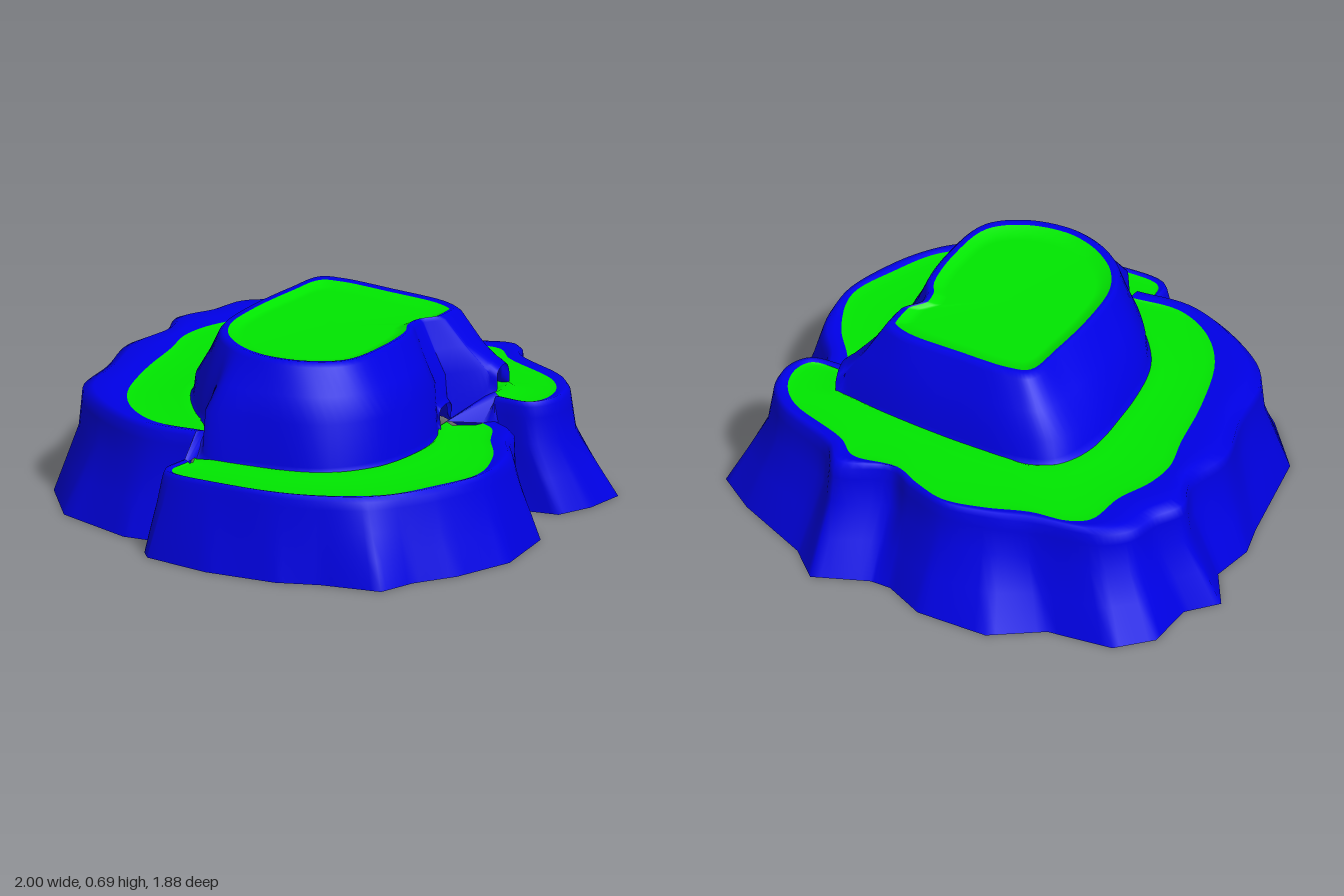
import * as THREE from 'three';

const blue = new THREE.MeshStandardMaterial({ color: 0x0000e7, side: THREE.DoubleSide });
blue.name = 'blue slope';
const green = new THREE.MeshStandardMaterial({ color: 0x00e700, side: THREE.DoubleSide });
green.name = 'green grass';

const STEPS = 6;
const V = (x, y, z) => new THREE.Vector3(x, y, z);

// flat [x, z, x, z, ...] outline at height y
const ring = (flat, y) => {
  const out = [];
  for (let i = 0; i < flat.length; i += 2) out.push(V(flat[i], y, flat[i + 1]));
  return out;
};

// sample an outline evenly between its stations, smoothly or with straight sides
function sample(pts, closed, straight) {
  const n = (closed ? pts.length : pts.length - 1) * STEPS;
  const curve = new THREE.CatmullRomCurve3(pts, closed, 'centripetal');
  return Array.from({ length: n + 1 }, (_, i) => {
    if (!straight) return curve.getPoint(closed ? (i % n) / n : i / n);
    const k = Math.min(Math.floor(i / STEPS), pts.length - 2);
    return pts[k].clone().lerp(pts[k + 1], i / STEPS - k);
  });
}

// blend two rows, taking the height from y (number or function of station)
const blend = (a, b, k, y) => a.map((p, i) => {
  const q = p.clone().lerp(b[i], k);
  q.y = typeof y === 'function' ? y(i) : y;
  return q;
});

// surface through rows running from the inside outwards
function loft(name, rows, material, closed = false) {
  const n = rows[0].length;
  const m = closed ? n - 1 : n;
  const pos = [];
  const idx = [];
  rows.forEach(r => r.slice(0, m).forEach(p => pos.push(p.x, p.y, p.z)));
  for (let j = 0; j < rows.length - 1; j++) {
    for (let i = 0; i < n - 1; i++) {
      const i2 = (i + 1) % m;
      const a = j * m + i, b = j * m + i2, c = a + m, d = b + m;
      idx.push(a, b, c, b, d, c);
    }
  }
  const geo = new THREE.BufferGeometry();
  geo.setAttribute('position', new THREE.Float32BufferAttribute(pos, 3));
  geo.setIndex(idx);
  geo.computeVertexNormals();
  const mesh = new THREE.Mesh(geo, material);
  mesh.name = name;
  return mesh;
}

// terrace: slightly sunken grass shelf, raised lip and outer wall;
// flare gives how far out the wall is at two thirds and one third of its height
function terrace(name, y, o, flare) {
  const base = sample(ring(o.base, 0), false, true);
  const top = sample(ring(o.top, y - 0.015), false);
  const edge = sample(ring(o.grass, y - 0.003), false);
  const foot = sample(ring(o.foot, y + 0.006), false);
  const centre = foot.map(() => V(0.1, y, 0.05));
  const under = blend(foot, centre, 0.06, y - 0.01);
  const walls = [
    edge,
    blend(edge, top, 0.35, y + 0.001),
    blend(edge, top, 0.75, y + 0.004),
    top,
    blend(top, base, flare[0] * 0.3, y * 0.86),
    blend(top, base, flare[0], y * 0.62),
    blend(top, base, flare[1], y * 0.32),
    base,
  ];
  const shelf = [under, foot, blend(foot, edge, 0.15, y - 0.009), blend(foot, edge, 0.85, y - 0.009), edge];
  const group = new THREE.Group();
  group.name = name;
  group.add(loft(name + 'Grass', shelf, green));
  group.add(loft(name + 'Wall', walls, blue));
  return { group, sections: [under, foot, ...walls] };
}

const upperOutline = {
  base: [-.14, .75, -.3, .78, -.61, .70, -.79, .5, -.88, .1, -.92, -.03, -.9, -.2, -1, -.35,
    -.91, -.46, -.91, -.66, -.80, -.78, -.55, -.81, -.37, -.94, -.09, -.94, .07, -.86, .15, -.86,
    .35, -.945, .47, -.83, .76, -.69, .91, -.58, .90, -.42, .85, -.29, .70, -.25],
  top: [-.07, .67, -.28, .69, -.5, .61, -.70, .45, -.76, .2, -.83, -.03, -.80, -.22, -.85, -.37,
    -.8, -.48, -.77, -.6, -.68, -.68, -.45, -.73, -.30, -.78, -.12, -.81, .05, -.76, .15, -.71,
    .34, -.79, .43, -.69, .68, -.58, .77, -.48, .79, -.36, .74, -.27, .6, -.25],
  grass: [-.06, .62, -.25, .64, -.4, .57, -.52, .43, -.61, .18, -.66, -.05, -.7, -.2, -.69, -.32,
    -.64, -.46, -.62, -.62, -.55, -.67, -.41, -.69, -.25, -.75, -.1, -.78, .03, -.74, .14, -.69,
    .31, -.71, .40, -.64, .65, -.54, .73, -.45, .75, -.35, .72, -.29, .6, -.28],
  foot: [-.06, .58, -.16, .52, -.26, .42, -.35, .28, -.40, .08, -.41, -.05, -.42, -.17, -.42, -.25,
    -.40, -.33, -.36, -.40, -.32, -.43, -.26, -.46, -.18, -.46, -.08, -.46, .05, -.46, .15, -.455,
    .28, -.445, .38, -.435, .5, -.42, .55, -.41, .57, -.36, .58, -.31, .575, -.29],
};

const lowerOutline = {
  base: [.70, -.25, .74, -.18, .84, -.11, .95, -.03, 1, .24, .93, .47, .84, .62, .80, .76,
    .58, .82, .43, .89, .16, .935, -.10, .92, -.14, .88, -.14, .75],
  top: [.62, -.25, .72, -.2, .77, -.1, .86, .02, .9, .24, .85, .46, .78, .6, .70, .70,
    .57, .78, .4, .84, .15, .87, -.03, .875, -.08, .85, -.08, .72],
  grass: [.57, -.22, .63, -.19, .70, -.08, .80, .05, .87, .25, .81, .45, .74, .6, .66, .68,
    .55, .75, .4, .81, .15, .85, -.03, .85, -.06, .82, -.06, .72],
  foot: [.47, -.14, .48, -.08, .53, 0, .56, .08, .57, .22, .55, .38, .5, .48, .45, .54,
    .38, .59, .27, .63, .12, .66, 0, .68, -.04, .70, -.05, .695],
};

// central hill: foot outline with heights (two small notches at the side) and the rim above it
const hillFoot = [
  [-.07, .4, .6], [-.19, .4, .49], [-.34, .4, .3], [-.4, .4, .05], [-.42, .4, -.2], [-.36, .4, -.4],
  [-.22, .4, -.46], [.1, .4, -.46], [.35, .4, -.44], [.55, .4, -.41], [.555, .48, -.4], [.575, .48, -.31],
  [.575, .4, -.295], [.475, .31, -.17], [.475, .385, -.16], [.49, .385, -.07], [.5, .31, -.06],
  [.53, .31, 0], [.57, .31, .2], [.54, .31, .4], [.42, .31, .57], [.15, .31, .66], [-.04, .31, .69],
];
const hillRim = [-.06, .48, -.14, .41, -.2, .3, -.225, .1, -.22, -.15, -.2, -.32, -.12, -.35, .1, -.355,
  .33, -.35, .41, -.32, .415, -.31, .42, -.22, .418, -.2, .38, -.14, .375, -.125, .385, -.065, .39, -.055,
  .42, 0, .445, .2, .42, .41, .3, .51, .14, .545, .03, .525];

function hill() {
  const foot = sample(hillFoot.map(p => V(...p)), true);
  const rim = sample(ring(hillRim, 0.678), true);
  const centre = rim.map(() => V(0.1, 0.672, 0.08));
  const lip = blend(rim, centre, 0.04, 0.694);
  const inner = blend(rim, centre, 0.09, 0.689);
  const group = new THREE.Group();
  group.name = 'hill';
  group.add(loft('hillSlope', [
    inner, lip, rim,
    blend(foot, rim, 0.62, 0.58),
    blend(foot, rim, 0.22, i => Math.max(0.49, foot[i].y + 0.03)),
    blend(foot, rim, 0.15, i => foot[i].y + 0.022),
    foot,
  ], blue, true));
  group.add(loft('hillGrass', [
    centre, blend(rim, centre, 0.24, 0.672), blend(rim, centre, 0.17, 0.676), inner,
  ], green, true));
  return group;
}

export function createModel() {
  const model = new THREE.Group();
  model.name = 'terracedHill';
  const upper = terrace('upperTerrace', 0.405, upperOutline, [0.13, 0.55]);
  const lower = terrace('lowerTerrace', 0.315, lowerOutline, [0.32, 0.66]);
  model.add(hill(), upper.group, lower.group);

  // walls joining the ends of the two terraces
  const join = (a, b) => a.sections.map((row, i) => [row[row.length - 1], b.sections[i][0]]);
  model.add(loft('frontStep', join(lower, upper), blue));
  model.add(loft('sideStep', join(upper, lower), blue));
  return model;
}
